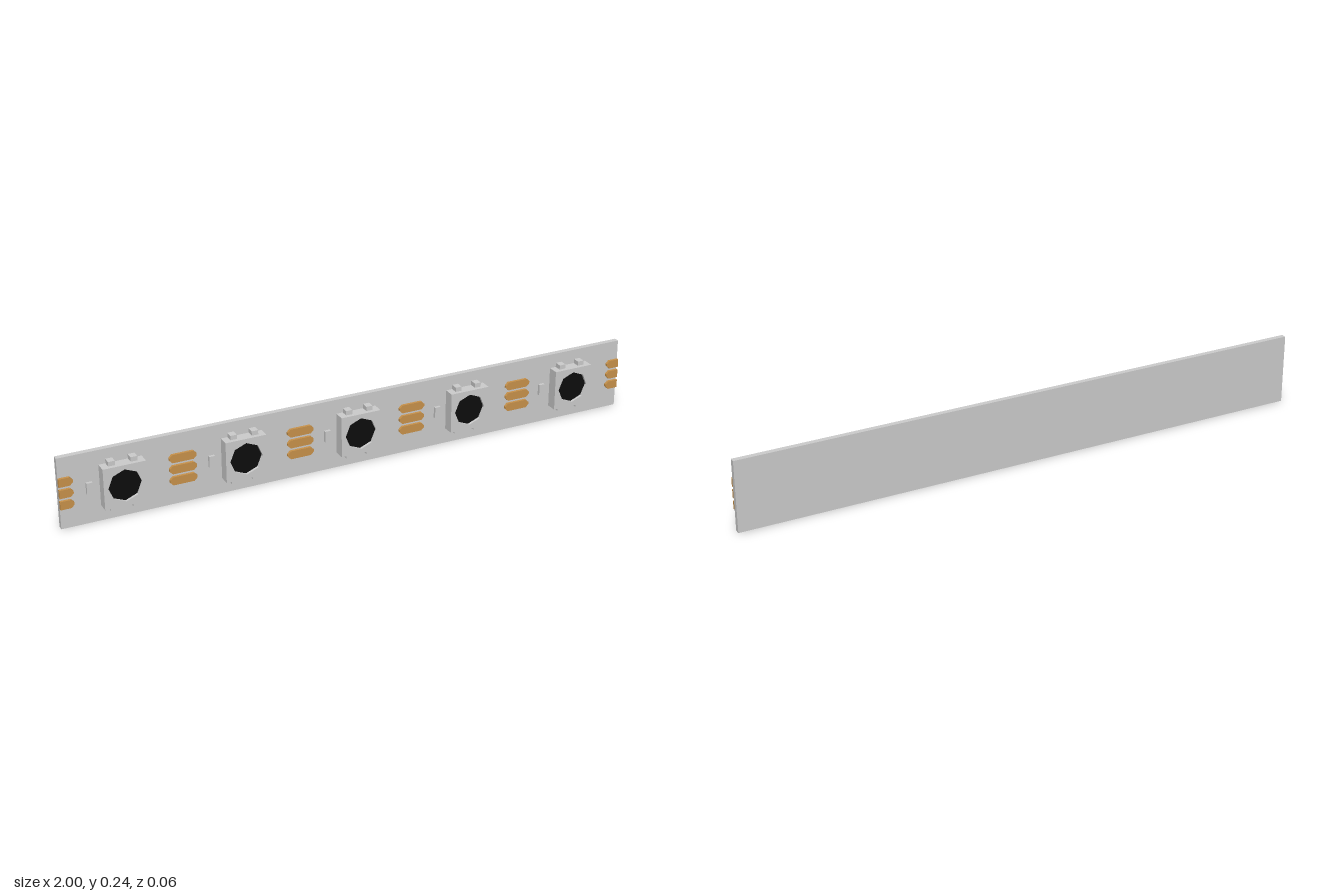
import * as THREE from 'three';

const BOARD_FRONT = -0.009;
const MID_Y = 0.122;

const grey = new THREE.MeshStandardMaterial({ color: 0xcccccc, flatShading: true });
const copper = new THREE.MeshStandardMaterial({ color: 0xc8924a, flatShading: true });
const black = new THREE.MeshStandardMaterial({ color: 0x0c0c0c, flatShading: true });

function add(parent, name, geometry, material, x, y, z) {
  const mesh = new THREE.Mesh(geometry, material);
  mesh.name = name;
  mesh.position.set(x, y, z);
  parent.add(mesh);
  return mesh;
}

function extrude(shape, depth) {
  return new THREE.ExtrudeGeometry(shape, { depth, bevelEnabled: false });
}

function octagon(radius) {
  const points = [];
  for (let i = 0; i < 8; i++) {
    const a = (i * Math.PI) / 4;
    points.push(new THREE.Vector2(Math.cos(a) * radius, Math.sin(a) * radius));
  }
  return points;
}

// Solder pad with chamfered ends; an end is left square where the strip is cut
function padGeometry(x0, x1, cutLeft, cutRight) {
  const h = 0.014, c = 0.01;
  const l = cutLeft ? 0 : c, r = cutRight ? 0 : c;
  const points = [
    [x0 + l, -h], [x1 - r, -h],
    ...(cutRight ? [] : [[x1, -h + c], [x1, h - c]]),
    [x1 - r, h], [x0 + l, h],
    ...(cutLeft ? [] : [[x0, h - c], [x0, -h + c]]),
  ].map(([x, y]) => new THREE.Vector2(x, y));
  return extrude(new THREE.Shape(points), 0.009);
}

// Light unit: square housing with an octagonal well, dark lens and four legs
function createLight() {
  const light = new THREE.Group();
  light.name = 'light';
  const s = 0.0695, depth = 0.038;
  const outline = new THREE.Shape([
    new THREE.Vector2(-s, -s), new THREE.Vector2(s, -s),
    new THREE.Vector2(s, s), new THREE.Vector2(-s, s),
  ]);
  outline.holes.push(new THREE.Path(octagon(0.055).reverse()));
  add(light, 'housing', extrude(outline, depth), grey, 0, 0, 0);
  add(light, 'lens', new THREE.ShapeGeometry(new THREE.Shape(octagon(0.055))), black, 0, 0, depth - 0.009);
  for (const sx of [-1, 1]) {
    for (const sy of [-1, 1]) {
      add(light, 'leg', new THREE.BoxGeometry(0.022, 0.015, 0.025), grey, sx * 0.036, sy * 0.077, 0.0125);
    }
  }
  return light;
}

export function createModel() {
  const strip = new THREE.Group();
  strip.name = 'lightStrip';

  add(strip, 'board', new THREE.BoxGeometry(2, 0.241, 0.018), grey, 0, 0.1205, -0.018);

  // Lights, each with a small resistor beside it
  for (let i = -2; i <= 2; i++) {
    const x = i * 0.4;
    const light = createLight();
    light.position.set(x, MID_Y, BOARD_FRONT);
    strip.add(light);
    add(strip, 'resistor', new THREE.BoxGeometry(0.02, 0.038, 0.01), grey, x - 0.104, MID_Y, BOARD_FRONT + 0.005);
  }

  // Rows of three pads between lights, with half pads at both ends
  const halfWidth = 0.045;
  for (let i = 0; i <= 5; i++) {
    const x = -1 + i * 0.4;
    const geometry = padGeometry(i === 0 ? 0 : -halfWidth, i === 5 ? 0 : halfWidth, i === 0, i === 5);
    for (const row of [-1, 0, 1]) {
      add(strip, 'solderPad', geometry, copper, x, MID_Y + row * 0.0385, BOARD_FRONT);
    }
  }
  return strip;
}
